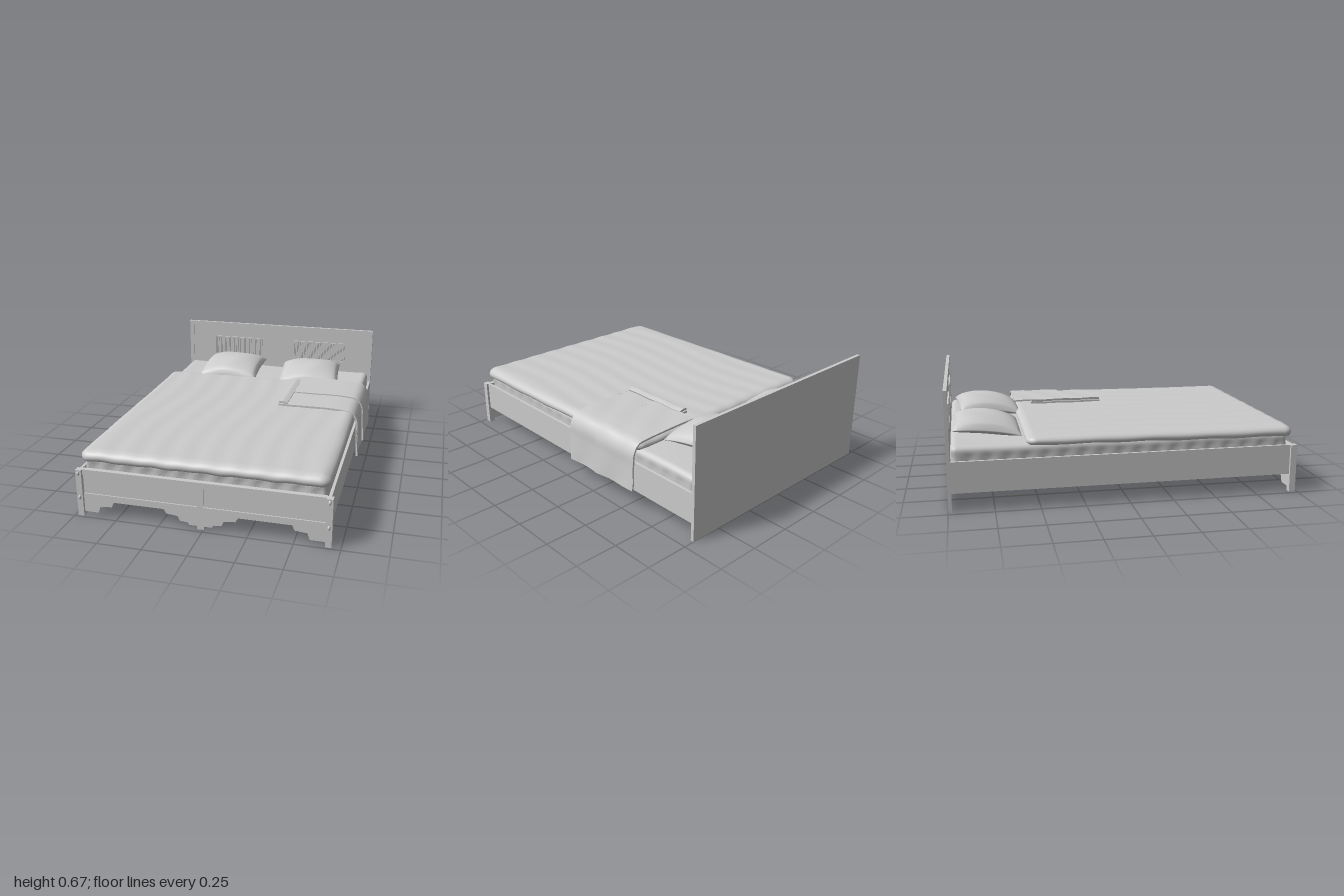
import * as THREE from 'three';
import { mergeVertices, toCreasedNormals } from 'three/addons/utils/BufferGeometryUtils.js';

const grey = new THREE.MeshStandardMaterial({ color: 0xcccccc });
const cloth = new THREE.MeshStandardMaterial({ color: 0xcccccc, side: THREE.DoubleSide });
const CX = -0.015; // centre line of the frame

function add(parent, name, geometry, x = 0, y = 0, z = 0, material = grey) {
  const mesh = new THREE.Mesh(geometry, material);
  mesh.name = name;
  mesh.position.set(x, y, z);
  parent.add(mesh);
  return mesh;
}

// Box given by its limits
function board(parent, name, x0, x1, y0, y1, z0, z1) {
  return add(parent, name, new THREE.BoxGeometry(x1 - x0, y1 - y0, z1 - z0),
    (x0 + x1) / 2, (y0 + y1) / 2, (z0 + z1) / 2);
}

// Moves every vertex by a rule, then smooths the surface
function reshape(geometry, rule) {
  geometry.deleteAttribute('uv');
  geometry.deleteAttribute('normal');
  const g = mergeVertices(geometry, 1e-5);
  const p = g.attributes.position;
  const v = new THREE.Vector3();
  for (let i = 0; i < p.count; i++) {
    rule(v.fromBufferAttribute(p, i));
    p.setXYZ(i, v.x, v.y, v.z);
  }
  g.computeVertexNormals();
  return g;
}

// Spread: a flat sheet whose border turns down through an arc (R across, r in
// height, up to the angle bend), then hangs straight for a given length
function spread(w, d, R, r, bend, hang, wrinkle) {
  const ix = w / 2 - R, iz = d / 2 - R, arc = R * bend;
  const plane = new THREE.PlaneGeometry(2 * (ix + arc + hang), 2 * (iz + arc + hang), 130, 170);
  plane.rotateX(-Math.PI / 2);
  return reshape(plane, (v) => {
    const ex = Math.max(0, Math.abs(v.x) - ix), ez = Math.max(0, Math.abs(v.z) - iz);
    const len = Math.hypot(ex, ez), over = Math.max(ex, ez);
    const a = Math.min(over / R, bend), straight = Math.max(0, over - arc);
    if (len > 0) {
      const out = R * Math.sin(a);
      v.set(Math.sign(v.x) * (Math.min(Math.abs(v.x), ix) + out * ex / len),
        -r * (1 - Math.cos(a)) - straight,
        Math.sign(v.z) * (Math.min(Math.abs(v.z), iz) + out * ez / len));
    }
    wrinkle(v, straight, a / bend);
  });
}

// Pillow: two domes meeting in a thin seam, corners drooping
function pillowGeometry(w, d) {
  return reshape(new THREE.BoxGeometry(2, 2, 2, 32, 2, 32), (v) => {
    const { x, z } = v;
    const dome = Math.pow(Math.max(0, (1 - x * x) * (1 - z * z)), 0.45);
    const crease = 0.003 * Math.sin(5 * x + 3 * z) * dome;
    v.set(x * w / 2 * (1 - 0.02 * (1 - z * z)),
      v.y * (0.003 + (v.y > 0 ? 0.072 : 0.036) * dome) + crease - 0.012 * x * x * z * z,
      z * d / 2 * (1 - 0.02 * (1 - x * x)));
  });
}

// Cloth layer: a thick strip following an x-y path, running from z0 to z1
function clothLayer(points, thickness, z0, z1, wave) {
  const curve = new THREE.CatmullRomCurve3(points.map(([x, y]) => new THREE.Vector3(x, y, 0)));
  const over = [], under = [];
  for (let i = 0; i <= 40; i++) {
    const p = curve.getPointAt(i / 40), t = curve.getTangentAt(i / 40);
    const n = new THREE.Vector2(-t.y, t.x).multiplyScalar(thickness / 2);
    over.push(new THREE.Vector2(p.x + n.x, p.y + n.y));
    under.unshift(new THREE.Vector2(p.x - n.x, p.y - n.y));
  }
  const g = new THREE.ExtrudeGeometry(new THREE.Shape([...over, ...under]),
    { depth: z1 - z0, steps: 24, bevelEnabled: false });
  g.translate(0, 0, z0);
  const p = g.attributes.position;
  for (let i = 0; i < p.count; i++) {
    const x = p.getX(i), y = p.getY(i), z = p.getZ(i);
    const hang = THREE.MathUtils.clamp((0.38 - y) / 0.27, 0, 1);
    p.setXYZ(i, x + wave * hang * Math.sin(z * 22 + y * 9),
      y + 0.0015 * Math.sin(z * 31 + x * 17) - 0.035 * hang * z,
      z + 0.006 * hang * Math.sin(y * 30));
  }
  return toCreasedNormals(g, 0.8);
}

function createHeadboard() {
  const group = new THREE.Group();
  group.name = 'headboard';
  const [xl, xr] = [-0.717, 0.687];
  board(group, 'headboardPanel', xl, xr, 0, 0.665, -1, -0.986);
  for (const x of [xl, xr - 0.03]) board(group, 'headboardPost', x, x + 0.03, 0, 0.665, -0.99, -0.98);
  board(group, 'headboardCap', xl + 0.03, xr - 0.03, 0.653, 0.665, -0.99, -0.98);
  // Two framed slatted grilles
  for (const x0 of [-0.518, 0.102]) {
    const x1 = x0 + 0.385, y0 = 0.415, y1 = 0.557, f = 0.008;
    const z0 = -0.989, z1 = -0.977;
    board(group, 'grilleTop', x0, x1, y1 - f, y1, z0, z1);
    board(group, 'grilleBottom', x0, x1, y0, y0 + f, z0, z1);
    for (const x of [x0, x1 - f]) board(group, 'grilleSide', x, x + f, y0 + f, y1 - f, z0, z1);
    const count = 34, pitch = (x1 - x0 - 2 * f) / count;
    for (let i = 0; i < count; i++) {
      const x = x0 + f + (i + 0.25) * pitch;
      board(group, 'grilleSlat', x, x + pitch * 0.5, y0 + f, y1 - f, z0, z1 - 0.002);
    }
  }
  return group;
}

function createFootboard() {
  const group = new THREE.Group();
  group.name = 'footboard';
  const W = 0.682;
  board(group, 'footTopRail', CX - W, CX + W, 0.245, 0.28, 0.953, 0.975);
  board(group, 'footPanel', CX - W, CX + W, 0.13, 0.25, 0.957, 0.968);
  board(group, 'footCentreStile', CX - 0.018, CX + 0.018, 0.13, 0.25, 0.955, 0.975);
  board(group, 'footInnerRail', CX - W, CX + W, 0.105, 0.28, 0.946, 0.958);

  // Lower rail with stepped brackets beside the posts and in the middle
  const half = [[0.02, 0], [0.02, 0.02], [0.065, 0.02], [0.072, 0.034], [0.118, 0.038],
    [0.13, 0.065], [0.195, 0.072], [0.21, 0.097], [0.503, 0.097], [0.517, 0.067],
    [0.585, 0.061], [0.598, 0.023], [W, 0.023], [W, 0.135]];
  const outline = [...half, ...half.map(([x, y]) => [-x, y]).reverse()];
  const skirt = new THREE.Shape(outline.map(([x, y]) => new THREE.Vector2(x, y)));
  add(group, 'footSkirt', new THREE.ExtrudeGeometry(skirt, { depth: 0.017, bevelEnabled: false }), CX, 0, 0.958);

  // Posts with bolt heads
  for (const s of [-1, 1]) {
    const x = CX + s * 0.698;
    board(group, 'footPost', x - 0.0175, x + 0.0175, 0, 0.28, 0.953, 0.99);
    for (const y of [0.115, 0.26]) {
      const bolt = add(group, 'boltHead', new THREE.SphereGeometry(0.01, 16, 10), x, y, 0.99);
      bolt.scale.set(0.8, 1.3, 1);
    }
  }
  return group;
}

export function createModel() {
  const bed = new THREE.Group();
  bed.name = 'bed';
  bed.add(createHeadboard(), createFootboard());

  // Side rails
  for (const s of [-1, 1]) {
    const x = CX + s * 0.694;
    board(bed, 'sideRail', x - 0.008, x + 0.008, 0.105, 0.28, -0.985, 0.955);
  }

  // Sheet over the mattress, open below, with ruffled sides
  add(bed, 'mattressSheet', spread(1.362, 1.92, 0.03, 0.03, Math.PI / 2, 0.105, (v, straight) => {
    const ruffle = 1 - Math.min(1, straight / 0.03) * 0.004 * (1 + Math.sin(v.x * 60 + v.z * 60));
    v.x *= ruffle;
    v.z *= ruffle;
    v.y += 0.002 * Math.sin(v.x * 13 + v.z * 9);
  }), CX, 0.355, -0.018, cloth);

  // Duvet with lengthwise wrinkles and a wavy, tucked hem
  add(bed, 'duvet', spread(1.392, 1.545, 0.055, 0.034, 2.2, 0, (v, straight, turn) => {
    v.y += 0.0015 * Math.sin(v.x * 42 + 1.5 * Math.sin(v.z * 4))
      + turn * (0.002 * Math.sin(v.x * 23 + v.z * 19) - 0.01 * v.z);
    if (v.z < -0.71 && Math.abs(v.x) < 0.66) v.y = Math.max(v.y, -0.036);
    v.x += 0.003 * Math.sin(v.z * 5) * v.x;
  }), CX, 0.392, 0.204, cloth);

  // Pillows, leaning slightly towards the headboard
  for (const [x, z, turn] of [[-0.31, -0.77, 0], [0.27, -0.742, 0.085]]) {
    const pillow = add(bed, 'pillow', pillowGeometry(0.415, 0.38), x, 0.393, z);
    pillow.rotation.set(0.11, turn, 0);
  }

  // Folded throw hanging over the left side
  const throwGroup = new THREE.Group();
  throwGroup.name = 'throw';
  add(throwGroup, 'throwLowerLayer', clothLayer([[0.2, 0.4], [0.4, 0.398], [0.6, 0.394],
    [0.665, 0.382], [0.696, 0.335], [0.7, 0.25], [0.708, 0.098]], 0.012, -0.46, 0, 0.003));
  add(throwGroup, 'throwUpperLayer', clothLayer([[0.25, 0.407], [0.4, 0.406], [0.6, 0.402],
    [0.67, 0.39], [0.704, 0.338], [0.709, 0.25], [0.717, 0.103]], 0.01, -0.565, -0.238, 0.004));
  add(throwGroup, 'throwFoldedEdge', clothLayer([[0.203, 0.415], [0.225, 0.417], [0.255, 0.409]],
    0.013, -0.455, -0.002, 0));
  bed.add(throwGroup);
  return bed;
}
